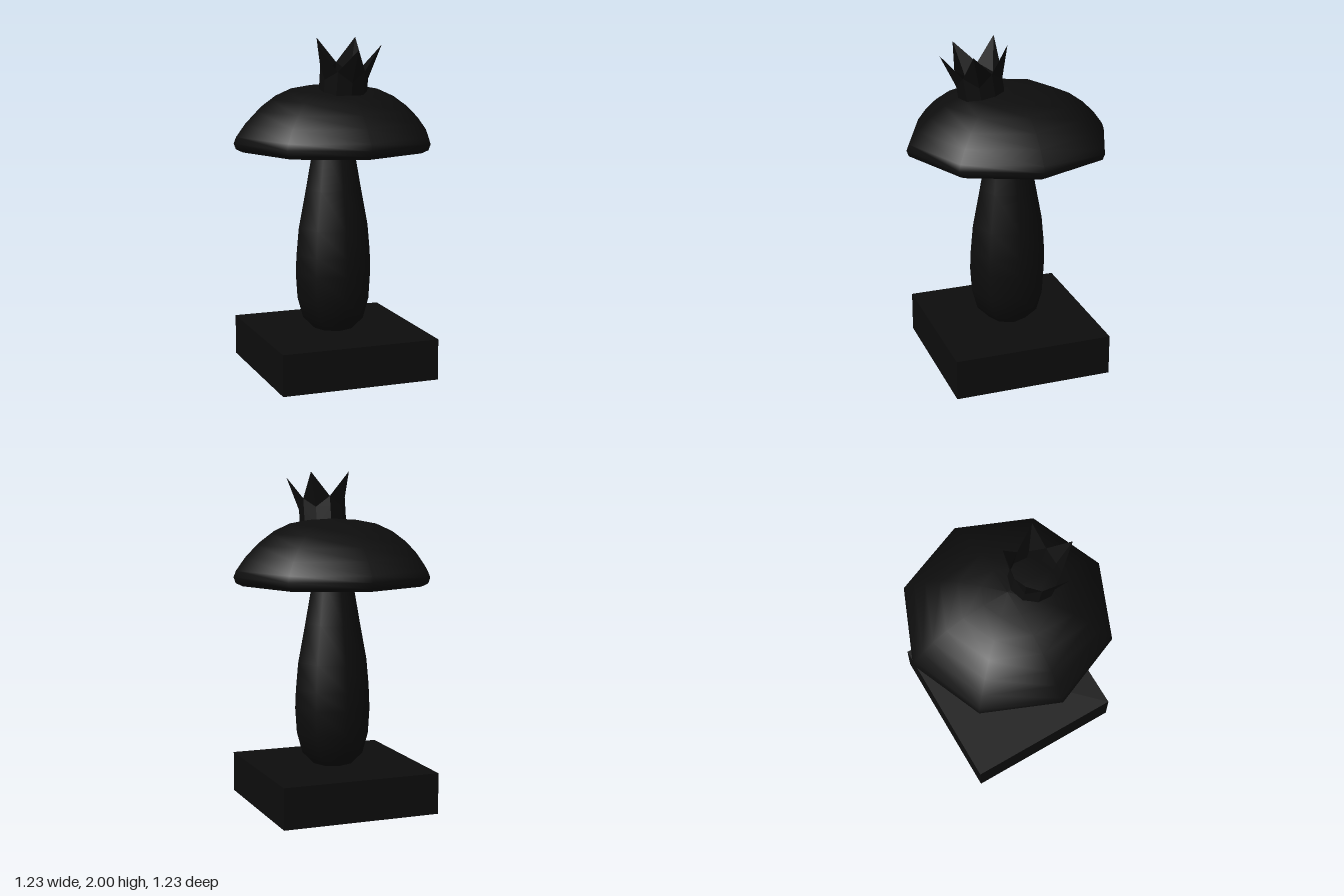
import * as THREE from 'three';

const SIDES = 8;

export function createModel() {
  const model = new THREE.Group();
  const black = new THREE.MeshStandardMaterial({ color: 0x0d0d0d });
  black.name = 'black';
  const blackSheet = black.clone(); // same colour, for the open crown
  blackSheet.side = THREE.DoubleSide;
  blackSheet.flatShading = true;

  const add = (name, geometry, material = black) => {
    const mesh = new THREE.Mesh(geometry, material);
    mesh.name = name;
    model.add(mesh);
    return mesh;
  };
  // Smooth eight-sided solid of revolution, profile given from the bottom up
  const turned = (profile) =>
    new THREE.LatheGeometry(profile.map(([r, y]) => new THREE.Vector2(r, y)), SIDES);

  // Square plinth
  add('plinth', new THREE.BoxGeometry(0.96, 0.245, 0.96)).position.y = 0.1225;

  // Bulbous stem
  add('stem', turned([
    [0, 0.238], [0.04, 0.24], [0.12, 0.25], [0.195, 0.325], [0.23, 0.45],
    [0.24, 0.6], [0.235, 0.71], [0.22, 0.87], [0.175, 1.1], [0.13, 1.345],
  ]));

  // Mushroom cap with a flat underside
  add('cap', turned([
    [0, 1.33], [0.3, 1.33], [0.48, 1.332], [0.56, 1.34], [0.602, 1.36], [0.615, 1.395],
    [0.6, 1.432], [0.545, 1.506], [0.475, 1.576], [0.385, 1.64],
    [0.28, 1.687], [0.15, 1.712], [0, 1.722],
  ]));

  // Five-pointed crown: straight band, then points flaring outward
  const rings = [
    () => [0.14, -0.03],
    () => [0.14, 0.083],
    (isTip) => (isTip ? [0.205, 0.285] : [0.14, 0.143]),
  ];
  const count = 10;
  const positions = [];
  const index = [];
  rings.forEach((ring, row) => {
    for (let i = 0; i < count; i++) {
      const [r, y] = ring(i % 2 === 0);
      const a = (i / count) * Math.PI * 2;
      positions.push(r * Math.sin(a), y, r * Math.cos(a));
      if (row === 0) continue;
      const next = (i + 1) % count;
      const a0 = (row - 1) * count + i, b0 = (row - 1) * count + next;
      const a1 = row * count + i, b1 = row * count + next;
      // Diagonals mirror on either side of each point
      if (i % 2 === 0) index.push(a0, b0, b1, a0, b1, a1);
      else index.push(a0, b0, a1, b0, b1, a1);
    }
  });
  const crownGeometry = new THREE.BufferGeometry();
  crownGeometry.setAttribute('position', new THREE.Float32BufferAttribute(positions, 3));
  crownGeometry.setIndex(index);
  crownGeometry.computeVertexNormals();
  const crown = add('crown', crownGeometry, blackSheet);
  crown.position.set(0, 1.69, 0.16);
  crown.rotation.x = 0.163;

  return model;
}
